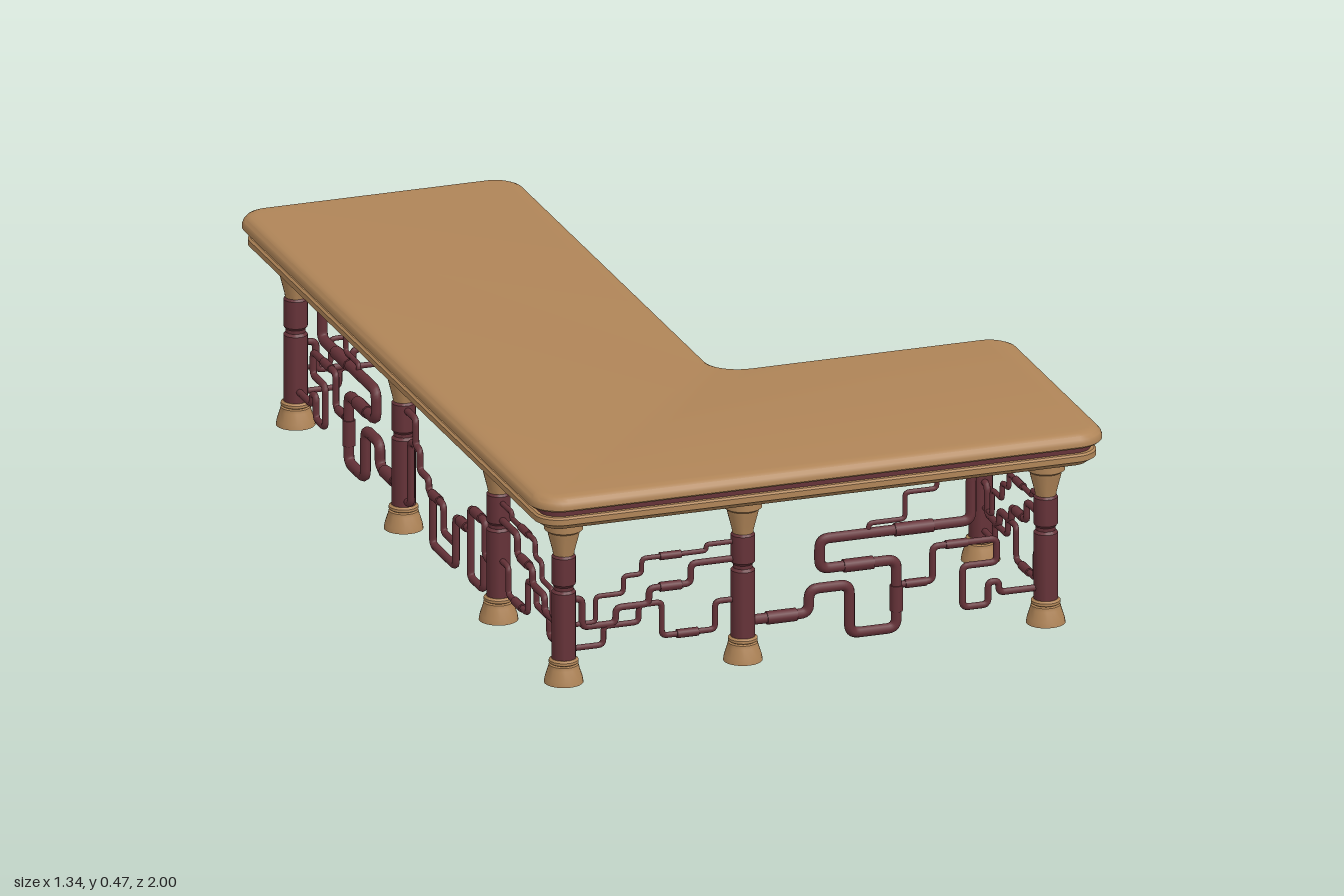
import * as THREE from 'three';
import { mergeGeometries, toCreasedNormals } from 'three/addons/utils/BufferGeometryUtils.js';

const tan = new THREE.MeshStandardMaterial({ color: 0xb08558 });
const dark = new THREE.MeshStandardMaterial({ color: 0x653238 });

function addMesh(parent, name, geometry, material) {
  const mesh = new THREE.Mesh(geometry, material);
  mesh.name = name;
  parent.add(mesh);
  return mesh;
}

// L-shaped outline, inset by d: corner centre x, z, radius, start and end angle (quarter turns)
const R = 0.07;
const corners = [
  [0.67 - R, 1 - R, 0, 1], [-0.67 + R, 1 - R, 1, 2], [-0.67 + R, -1 + R, 2, 3],
  [-0.01 - R, -1 + R, 3, 4], [-0.01 + R, 0.33 - R, 2, 1], [0.67 - R, 0.33 + R, 3, 4],
];
function outline(d) {
  const points = [];
  for (const [cx, cz, a0, a1] of corners) {
    const r = a1 > a0 ? R - d : R + d;
    for (let i = 0; i <= 8; i++) {
      const a = (a0 + (a1 - a0) * i / 8) * Math.PI / 2;
      points.push(new THREE.Vector2(cx + r * Math.cos(a), cz + r * Math.sin(a)));
    }
  }
  return points;
}

// Solid L layer; profile lists [inset, y] from bottom to top
function layer(profile) {
  const rings = profile.map(([d]) => outline(d));
  const n = rings[0].length, pos = [], index = [];
  rings.forEach((ring, j) => ring.forEach((p, k) => {
    pos.push(p.x, profile[j][1], p.y);
    if (j === 0) return;
    const a = (j - 1) * n + k, b = (j - 1) * n + (k + 1) % n;
    index.push(a, a + n, b + n, a, b + n, b);
  }));
  const sides = new THREE.BufferGeometry();
  sides.setAttribute('position', new THREE.Float32BufferAttribute(pos, 3));
  sides.setIndex(index);
  const last = profile.length - 1;
  const top = new THREE.ShapeGeometry(new THREE.Shape(rings[last].map(p => new THREE.Vector2(p.x, -p.y))));
  top.rotateX(-Math.PI / 2).translate(0, profile[last][1], 0);
  const bottom = new THREE.ShapeGeometry(new THREE.Shape(rings[0]));
  bottom.rotateX(Math.PI / 2).translate(0, profile[0][1], 0);
  for (const g of [top, bottom]) { g.deleteAttribute('uv'); g.deleteAttribute('normal'); }
  return toCreasedNormals(mergeGeometries([sides, top, bottom]), 0.6);
}

// Turned parts of one column
const lathe = pts => toCreasedNormals(
  new THREE.LatheGeometry(pts.map(p => new THREE.Vector2(...p)), 24), 0.6);
const columnParts = [
  ['base', tan, lathe([[0, 0], [0.044, 0], [0.042, 0.012], [0.035, 0.034], [0.033, 0.042],
    [0.028, 0.044], [0.033, 0.047], [0.033, 0.053], [0.028, 0.057], [0, 0.057]])],
  ['shaft', dark, lathe([[0, 0.05], [0.027, 0.05], [0.027, 0.212], [0.022, 0.218], [0.022, 0.226],
    [0.027, 0.232], [0.027, 0.295], [0.022, 0.302], [0, 0.302]])],
  ['capital', tan, lathe([[0, 0.298], [0.023, 0.298], [0.025, 0.31], [0.034, 0.345], [0.036, 0.355],
    [0.043, 0.36], [0.043, 0.395], [0, 0.395]])],
];

// Tube along right-angled points with rounded bends
function pipe(points, radius) {
  const p = points.map(([u, y]) => new THREE.Vector3(u, y, 0));
  const path = new THREE.CurvePath();
  let from = p[0];
  for (let i = 1; i < p.length - 1; i++) {
    const prev = p[i - 1], here = p[i], next = p[i + 1];
    const bend = Math.min(radius * 1.8, here.distanceTo(prev) * 0.48, here.distanceTo(next) * 0.48);
    const a = here.clone().add(prev.clone().sub(here).setLength(bend));
    const b = here.clone().add(next.clone().sub(here).setLength(bend));
    path.add(new THREE.LineCurve3(from, a));
    path.add(new THREE.QuadraticBezierCurve3(a, here, b));
    from = b;
  }
  path.add(new THREE.LineCurve3(from, p[p.length - 1]));
  return new THREE.TubeGeometry(path, Math.ceil(path.getLength() / 0.005), radius, 8, false);
}

// Pipework panels: pipes are [radius, points], sleeves are [u, y, length, radius, upright]
const panels = {
  large: {
    span: 0.71,
    pipes: [
      [0.0125, [[0, 0.09], [0.155, 0.09], [0.155, 0.145], [0.25, 0.145], [0.25, 0.03], [0.36, 0.03],
        [0.36, 0.19], [0.18, 0.19], [0.18, 0.26], [0.535, 0.26], [0.535, 0.375], [0.71, 0.375]]],
      [0.008, [[0.36, 0.13], [0.445, 0.13], [0.445, 0.21], [0.595, 0.21], [0.595, 0.155], [0.515, 0.155],
        [0.515, 0.058], [0.575, 0.058], [0.575, 0.11], [0.6, 0.11], [0.6, 0.083], [0.71, 0.083]]],
      [0.006, [[0.295, 0.26], [0.295, 0.283], [0.38, 0.283], [0.38, 0.345], [0.455, 0.345], [0.455, 0.4]]],
    ],
    sleeves: [[0.09, 0.09, 0.07, 0.015], [0.27, 0.19, 0.07, 0.015], [0.36, 0.1, 0.06, 0.015, true],
      [0.4, 0.26, 0.09, 0.015], [0.5, 0.21, 0.05, 0.01], [0.405, 0.13, 0.05, 0.01]],
  },
  medium: {
    span: 0.62,
    pipes: [
      [0.009, [[0, 0.118], [0.085, 0.118], [0.085, 0.198], [0.182, 0.198], [0.182, 0.035], [0.096, 0.035], [0.096, 0.118]]],
      [0.009, [[0.182, 0.144], [0.278, 0.144], [0.278, 0.027], [0.428, 0.027], [0.428, 0.144]]],
      [0.008, [[0.278, 0.08], [0.358, 0.08], [0.358, 0.144], [0.455, 0.144], [0.455, 0.171], [0.513, 0.171],
        [0.513, 0.22], [0.54, 0.22], [0.54, 0.283], [0.62, 0.283]]],
      [0.009, [[0.54, 0.22], [0.572, 0.22], [0.572, 0.07], [0.62, 0.07]]],
    ],
    sleeves: [[0.135, 0.198, 0.05, 0.012], [0.23, 0.144, 0.045, 0.012], [0.41, 0.144, 0.05, 0.011]],
  },
  small: {
    span: 0.42,
    pipes: [
      [0.006, [[0, 0.13], [0.075, 0.13], [0.075, 0.19], [0.14, 0.19], [0.14, 0.23], [0.183, 0.23],
        [0.183, 0.266], [0.334, 0.266], [0.334, 0.28], [0.42, 0.28]]],
      [0.008, [[0, 0.19], [0.043, 0.19], [0.043, 0.122], [0.122, 0.122], [0.122, 0.158], [0.2, 0.158],
        [0.2, 0.194], [0.298, 0.194], [0.298, 0.24], [0.42, 0.24]]],
      [0.007, [[0, 0.075], [0.093, 0.075], [0.093, 0.118], [0.176, 0.118], [0.176, 0.158], [0.23, 0.158],
        [0.23, 0.079], [0.355, 0.079], [0.355, 0.144], [0.42, 0.144]]],
    ],
    sleeves: [[0.25, 0.266, 0.05, 0.009], [0.25, 0.194, 0.05, 0.011], [0.29, 0.079, 0.05, 0.01]],
  },
};

function buildPanel(name, { span, pipes, sleeves }, [x1, z1], [x2, z2]) {
  const group = new THREE.Group();
  group.name = name;
  for (const [radius, points] of pipes) addMesh(group, 'pipe', pipe(points, radius), dark);
  for (const [u, y, length, radius, upright] of sleeves) {
    const sleeve = addMesh(group, 'pipeSleeve', new THREE.CylinderGeometry(radius, radius, length, 10), dark);
    sleeve.position.set(u, y, 0);
    if (!upright) sleeve.rotation.z = Math.PI / 2;
  }
  group.position.set(x1, 0, z1);
  group.rotation.y = Math.atan2(z1 - z2, x2 - x1);
  group.scale.x = Math.hypot(x2 - x1, z2 - z1) / span;
  return group;
}

export function createModel() {
  const model = new THREE.Group();
  model.name = 'cornerCounter';

  // Counter top: moulding, recessed band and rounded slab
  addMesh(model, 'lowerMoulding', layer([[0.04, 0.39], [0.035, 0.392], [0.02, 0.403], [0.013, 0.407], [0.013, 0.42], [0.018, 0.424]]), tan);
  addMesh(model, 'recessedBand', layer([[0.026, 0.415], [0.026, 0.447]]), dark);
  addMesh(model, 'counterSlab', layer([[0.006, 0.441], [0, 0.446], [0, 0.454], [0.003, 0.462], [0.009, 0.469], [0.018, 0.473], [0.03, 0.475]]), tan);

  // Columns
  const frontLeft = [-0.57, 0.88], frontMid = [-0.15, 0.88], frontRight = [0.56, 0.88], endRight = [0.56, 0.455];
  const sideFront = [-0.57, 0.455], sideMid = [-0.57, -0.165], backLeft = [-0.57, -0.87], backRight = [-0.11, -0.87];
  for (const [x, z] of [frontLeft, frontMid, frontRight, endRight, sideFront, sideMid, backLeft, backRight]) {
    const column = new THREE.Group();
    column.name = 'column';
    for (const [name, material, geometry] of columnParts) addMesh(column, name, geometry, material);
    column.position.set(x, 0, z);
    model.add(column);
  }

  // Pipework between the columns
  model.add(
    buildPanel('frontLargePipes', panels.large, frontMid, frontRight),
    buildPanel('frontSmallPipes', panels.small, frontLeft, frontMid),
    buildPanel('rightEndPipes', panels.small, endRight, frontRight),
    buildPanel('sideSmallPipes', panels.small, frontLeft, sideFront),
    buildPanel('sideMediumPipes', panels.medium, sideFront, sideMid),
    buildPanel('sideLargePipes', panels.large, sideMid, backLeft),
    buildPanel('backEndPipes', panels.small, backLeft, backRight),
  );
  return model;
}
